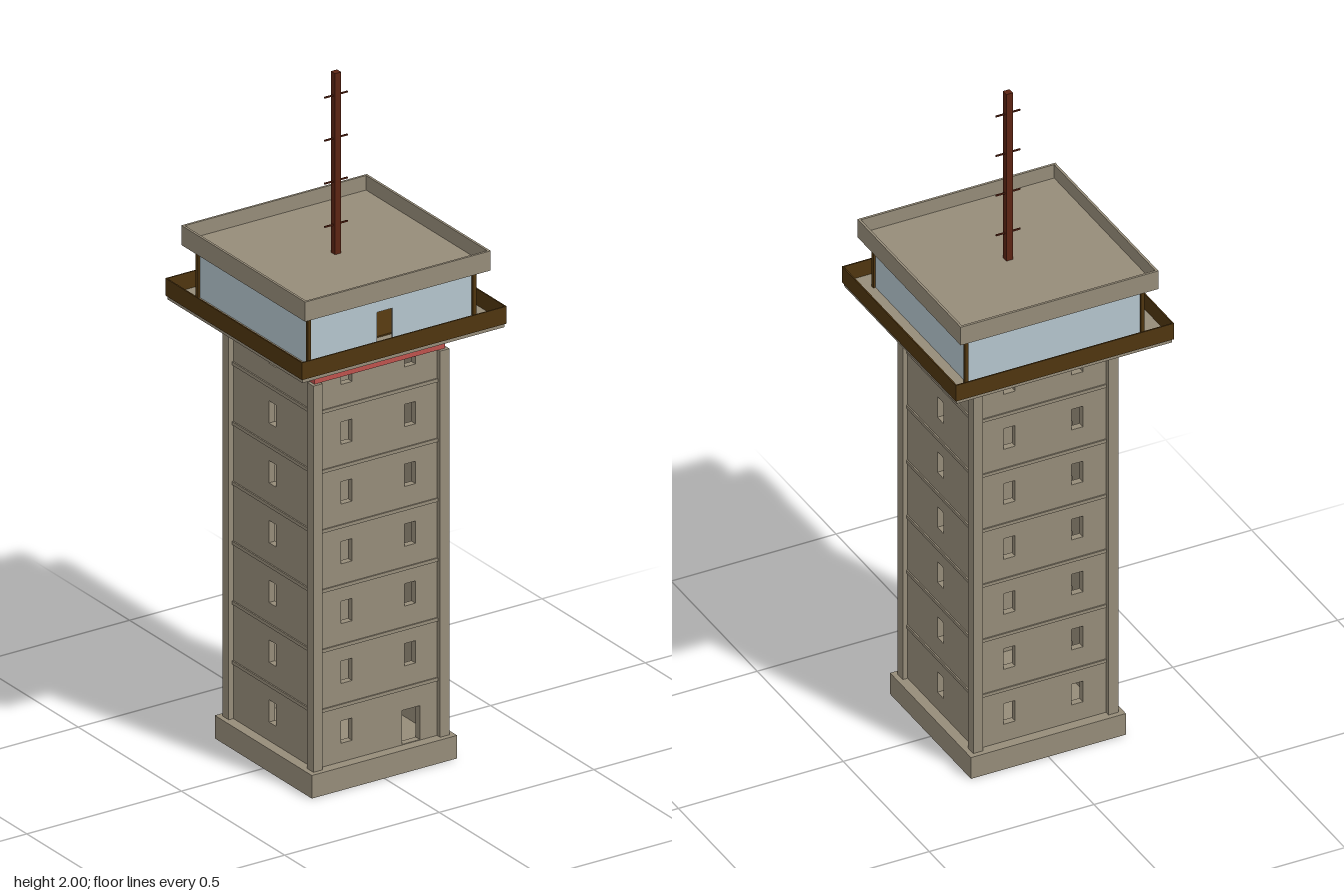
import * as THREE from 'three';

const mat = (name, color) => {
  const m = new THREE.MeshStandardMaterial({ color });
  m.name = name;
  return m;
};

export function createModel() {
  const concrete = mat('concrete', 0x968c79);
  const red = mat('red band', 0xbe524d);
  const brown = mat('brown railing', 0x4f350f);
  const glass = mat('pale glass', 0xb4c5cd);
  const rust = mat('mast rust', 0x5c2413);

  const model = new THREE.Group();
  model.name = 'controlTower';

  // Box given by its bottom and top heights
  const box = (name, m, w, d, y0, y1, x = 0, z = 0, parent = model) => {
    const mesh = new THREE.Mesh(new THREE.BoxGeometry(w, y1 - y0, d), m);
    mesh.position.set(x, (y0 + y1) / 2, z);
    mesh.name = name;
    parent.add(mesh);
    return mesh;
  };

  // Rectangle outline, used for panels and holes
  const rect = (Type, x0, x1, y0, y1) => new Type([
    new THREE.Vector2(x0, y0), new THREE.Vector2(x1, y0),
    new THREE.Vector2(x1, y1), new THREE.Vector2(x0, y1)]);

  // Upright panel with openings; its outer face lies at distance r from the axis
  const panel = (name, m, half, y0, y1, r, depth, holes, turn) => {
    const shape = rect(THREE.Shape, -half, half, y0, y1);
    holes.forEach((h) => shape.holes.push(rect(THREE.Path, ...h)));
    const geo = new THREE.ExtrudeGeometry(shape, { depth, bevelEnabled: false });
    geo.translate(0, 0, r - depth);
    const mesh = new THREE.Mesh(geo, m);
    mesh.rotation.y = turn * Math.PI / 2;
    mesh.name = name;
    model.add(mesh);
  };

  // Square ring, open in the middle
  const ring = (name, m, half, t, y0, y1) => {
    const shape = rect(THREE.Shape, -half, half, -half, half);
    const i = half - t;
    shape.holes.push(rect(THREE.Path, -i, i, -i, i));
    const geo = new THREE.ExtrudeGeometry(shape, { depth: y1 - y0, bevelEnabled: false });
    geo.rotateX(-Math.PI / 2).translate(0, y0, 0);
    const mesh = new THREE.Mesh(geo, m);
    mesh.name = name;
    model.add(mesh);
  };

  const corners = (fn) => [-1, 1].forEach((sx) => [-1, 1].forEach((sz) => fn(sx, sz)));

  // Base block
  box('base', concrete, 0.47, 0.47, 0, 0.068);

  // Hollow shaft: two window columns front and back, one on each side
  const floorStep = 0.1767;
  const windows = (xs) => xs.flatMap((x) => Array.from({ length: 7 }, (_, i) => {
    const y = 0.123 + i * floorStep;
    return [x - 0.0175, x + 0.0175, y, y + 0.066];
  }));
  const front = windows([-0.1025, 0.1025]);
  front[7] = [0.077, 0.134, 0.07, 0.17]; // entrance in place of one window
  panel('frontWall', concrete, 0.205, 0.068, 1.27, 0.205, 0.02, front, 0);
  panel('backWall', concrete, 0.205, 0.068, 1.27, 0.205, 0.02, windows([-0.1025, 0.1025]), 2);
  panel('leftWall', concrete, 0.185, 0.068, 1.27, 0.205, 0.02, windows([0]), 1);
  panel('rightWall', concrete, 0.185, 0.068, 1.27, 0.205, 0.02, windows([0]), 3);

  // Floor ledges and corner pilasters
  for (let i = 0; i < 6; i++) {
    const y = 0.235 + i * floorStep;
    ring('floorLedge', concrete, 0.209, 0.015, y - 0.005, y + 0.005);
  }
  corners((sx, sz) => box('cornerPilaster', concrete, 0.03, 0.03, 0.068, 1.209, sx * 0.205, sz * 0.205));

  // Red band and stepped flare below the deck
  ring('redBand', red, 0.211, 0.007, 1.209, 1.25);
  for (let i = 0; i < 4; i++) {
    const w = 2 * (0.214 + i * 0.009);
    box('flareStep', concrete, w, w, 1.25 + i * 0.009, 1.259 + i * 0.009);
  }

  // Deck with thin parapet railing
  box('deck', concrete, 0.654, 0.654, 1.286, 1.3);
  ring('deckRailing', brown, 0.331, 0.004, 1.297, 1.348);

  // Glazed cabin with a doorway in the front
  box('cabinFloor', brown, 0.44, 0.44, 1.3, 1.304);
  for (let i = 0; i < 4; i++) {
    const door = i === 0 ? [[-0.045, 0.006, 1.302, 1.4]] : [];
    panel('cabinGlass', glass, 0.262, 1.3, 1.452, 0.265, 0.004, door, i);
  }
  corners((sx, sz) => box('cabinPost', brown, 0.01, 0.01, 1.3, 1.452, sx * 0.267, sz * 0.267));

  // Flat roof with a raised rim
  box('roof', concrete, 0.59, 0.59, 1.45, 1.465);
  ring('roofRim', concrete, 0.3, 0.007, 1.45, 1.508);

  // Antenna mast with cross bars
  const mast = new THREE.Group();
  mast.name = 'antennaMast';
  model.add(mast);
  box('mastPole', rust, 0.02, 0.02, 1.465, 2, 0, 0, mast);
  [1.55, 1.678, 1.805, 1.932].forEach((y) =>
    box('mastCrossBar', rust, 0.075, 0.004, y - 0.002, y + 0.002, 0, 0, mast));

  return model;
}
